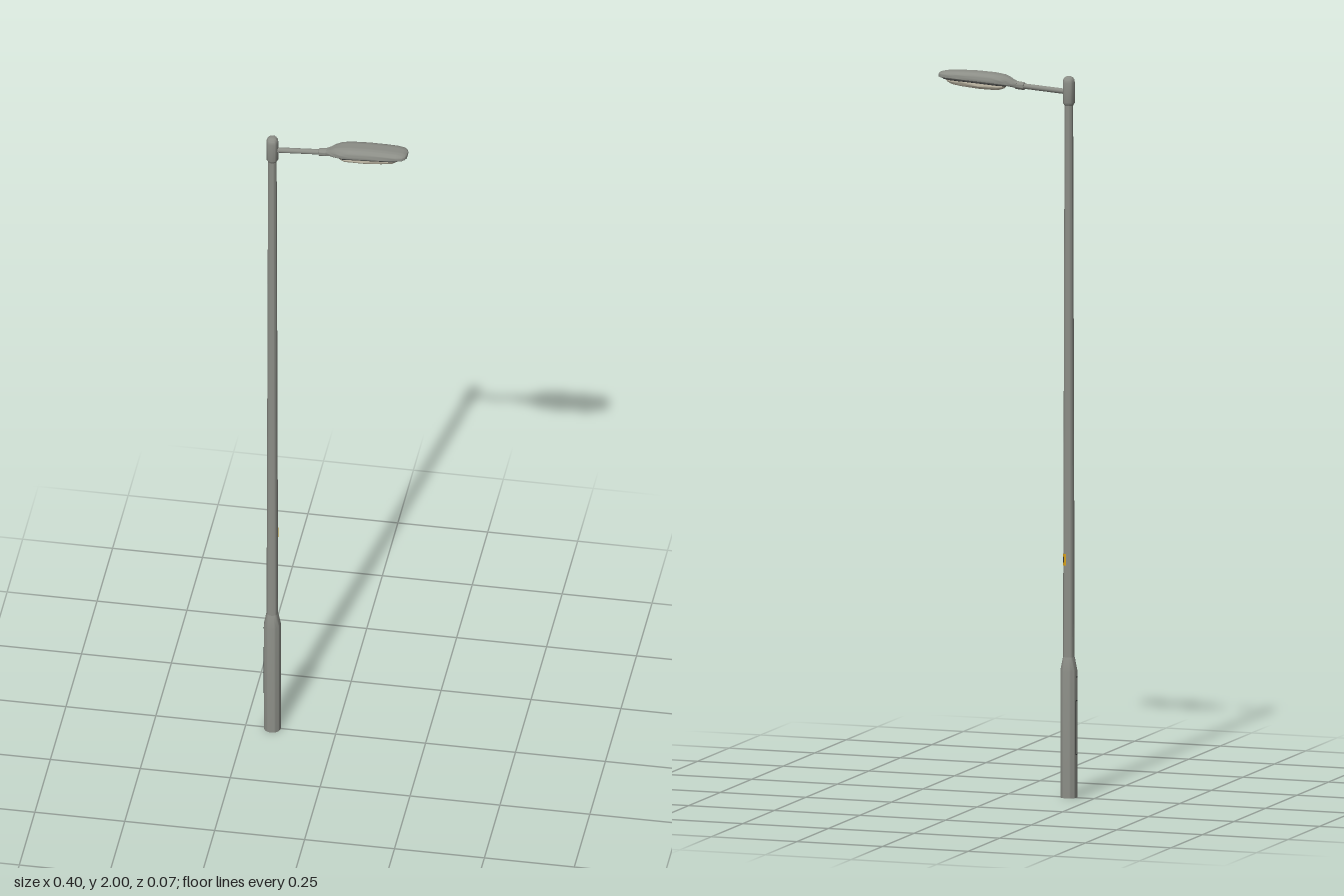
import * as THREE from 'three';
import { toCreasedNormals } from 'three/addons/utils/BufferGeometryUtils.js';

const POLE_X = -0.176;

// Skin along x from stations [x, centreY, halfWidth, heightAbove, depthBelow]
function loft(stations, power, sides = 40) {
  const pos = [], index = [];
  const soft = (v) => Math.sign(v) * Math.abs(v) ** power;
  for (const [x, y, w, up, down] of stations) {
    for (let j = 0; j < sides; j++) {
      const t = (j / sides) * Math.PI * 2;
      const s = soft(Math.sin(t));
      pos.push(x, y + s * (s > 0 ? up : down), soft(Math.cos(t)) * w);
    }
  }
  const last = stations.length - 1;
  for (let i = 0; i < last; i++) {
    for (let j = 0; j < sides; j++) {
      const a = i * sides + j, b = i * sides + ((j + 1) % sides);
      index.push(a, a + sides, b, b, a + sides, b + sides);
    }
  }
  // End caps
  const c0 = pos.length / 3;
  pos.push(stations[0][0], stations[0][1], 0, stations[last][0], stations[last][1], 0);
  for (let j = 0; j < sides; j++) {
    const k = (j + 1) % sides;
    index.push(c0, j, k, c0 + 1, last * sides + k, last * sides + j);
  }
  const g = new THREE.BufferGeometry();
  g.setAttribute('position', new THREE.Float32BufferAttribute(pos, 3));
  g.setIndex(index);
  return toCreasedNormals(g, 0.7);
}

export function createModel() {
  const model = new THREE.Group();
  const material = (name, color, side = THREE.FrontSide) => {
    const m = new THREE.MeshStandardMaterial({ color, side });
    m.name = name;
    return m;
  };
  const steel = material('galvanisedGrey', 0x8b8d86);
  const glass = material('lensCream', 0xc9c2ae);
  const dark = material('darkGrey', 0x3a3b3a, THREE.DoubleSide);
  const yellow = material('labelYellow', 0xd9a31c, THREE.DoubleSide);

  const add = (name, geometry, mat, x = 0, y = 0, z = 0) => {
    const mesh = new THREE.Mesh(geometry, mat);
    mesh.name = name;
    mesh.position.set(x, y, z);
    model.add(mesh);
    return mesh;
  };
  const turned = (points) =>
    toCreasedNormals(new THREE.LatheGeometry(points.map((p) => new THREE.Vector2(...p)), 32), 0.6);
  // Curved plate hugging the pole, centred on the given angle (0 = +z, PI/2 = +x)
  const plate = (name, mat, radius, height, y, angle, sweep) =>
    add(name, new THREE.CylinderGeometry(radius, radius, height, 8, 1, true, angle - sweep / 2, sweep),
      mat, POLE_X, y);

  // Pole: wide base, shoulder, slender tapering shaft
  add('base', turned([[0, 0], [0.0235, 0], [0.0235, 0.352], [0.0165, 0.388], [0.0160, 0.39]]), steel, POLE_X);
  add('shaft', turned([[0.0160, 0.385], [0.0118, 1.93]]), steel, POLE_X);
  add('cap', turned([
    [0.0118, 1.918], [0.0165, 1.926], [0.0165, 1.982], [0.0155, 1.990], [0.012, 1.996], [0.006, 1.9992], [0, 2],
  ]), steel, POLE_X);

  // Service door and lock on the back of the base
  plate('serviceDoorGap', dark, 0.0237, 0.152, 0.195, -Math.PI / 2, 0.62);
  plate('serviceDoor', steel, 0.0240, 0.146, 0.195, -Math.PI / 2, 0.52);
  plate('doorLock', dark, 0.0240, 0.005, 0.335, -Math.PI / 2, 0.3);

  // Identification label on the shaft
  plate('label', yellow, 0.0162, 0.032, 0.66, Math.PI * 0.75, 1.2);
  plate('labelMark', dark, 0.0164, 0.016, 0.66, Math.PI * 0.75, 0.3);

  // Arm
  const arm = new THREE.LineCurve3(new THREE.Vector3(POLE_X, 1.956, 0), new THREE.Vector3(-0.03, 1.966, 0));
  add('arm', new THREE.TubeGeometry(arm, 1, 0.0075, 20), steel);

  // Socket joining arm and lamp head
  add('socket', loft([
    [-0.047, 1.965, 0.009, 0.009, 0.009], [-0.045, 1.965, 0.011, 0.011, 0.011],
    [-0.022, 1.967, 0.011, 0.011, 0.011],
  ], 1), steel);

  // Lamp head shell
  add('lampHead', loft([
    [-0.026, 1.967, 0.011, 0.010, 0.009],
    [-0.014, 1.968, 0.015, 0.014, 0.007],
    [0.000, 1.970, 0.0235, 0.019, 0.006],
    [0.015, 1.972, 0.0295, 0.022, 0.005],
    [0.040, 1.974, 0.0325, 0.0235, 0.005],
    [0.090, 1.977, 0.0330, 0.0230, 0.005],
    [0.140, 1.980, 0.0325, 0.0195, 0.005],
    [0.172, 1.982, 0.0310, 0.0160, 0.005],
    [0.188, 1.983, 0.0280, 0.0125, 0.005],
    [0.196, 1.984, 0.0220, 0.0095, 0.004],
    [0.200, 1.984, 0.0130, 0.0060, 0.003],
  ], 0.7), steel);

  // Dark seam, then the lens bowl beneath the shell
  add('lensSeam', loft([
    [0.004, 1.966, 0.017, 0.002, 0.003], [0.020, 1.967, 0.0275, 0.002, 0.003],
    [0.165, 1.976, 0.0285, 0.002, 0.003], [0.184, 1.978, 0.020, 0.002, 0.003],
  ], 0.6), dark);
  add('lens', loft([
    [0.008, 1.965, 0.012, 0.002, 0.004],
    [0.014, 1.965, 0.019, 0.002, 0.010],
    [0.028, 1.966, 0.025, 0.002, 0.0155],
    [0.080, 1.969, 0.027, 0.002, 0.0175],
    [0.130, 1.973, 0.027, 0.002, 0.0170],
    [0.160, 1.975, 0.025, 0.002, 0.0145],
    [0.174, 1.976, 0.019, 0.002, 0.0090],
    [0.180, 1.977, 0.012, 0.002, 0.0040],
  ], 0.7), glass);

  return model;
}
